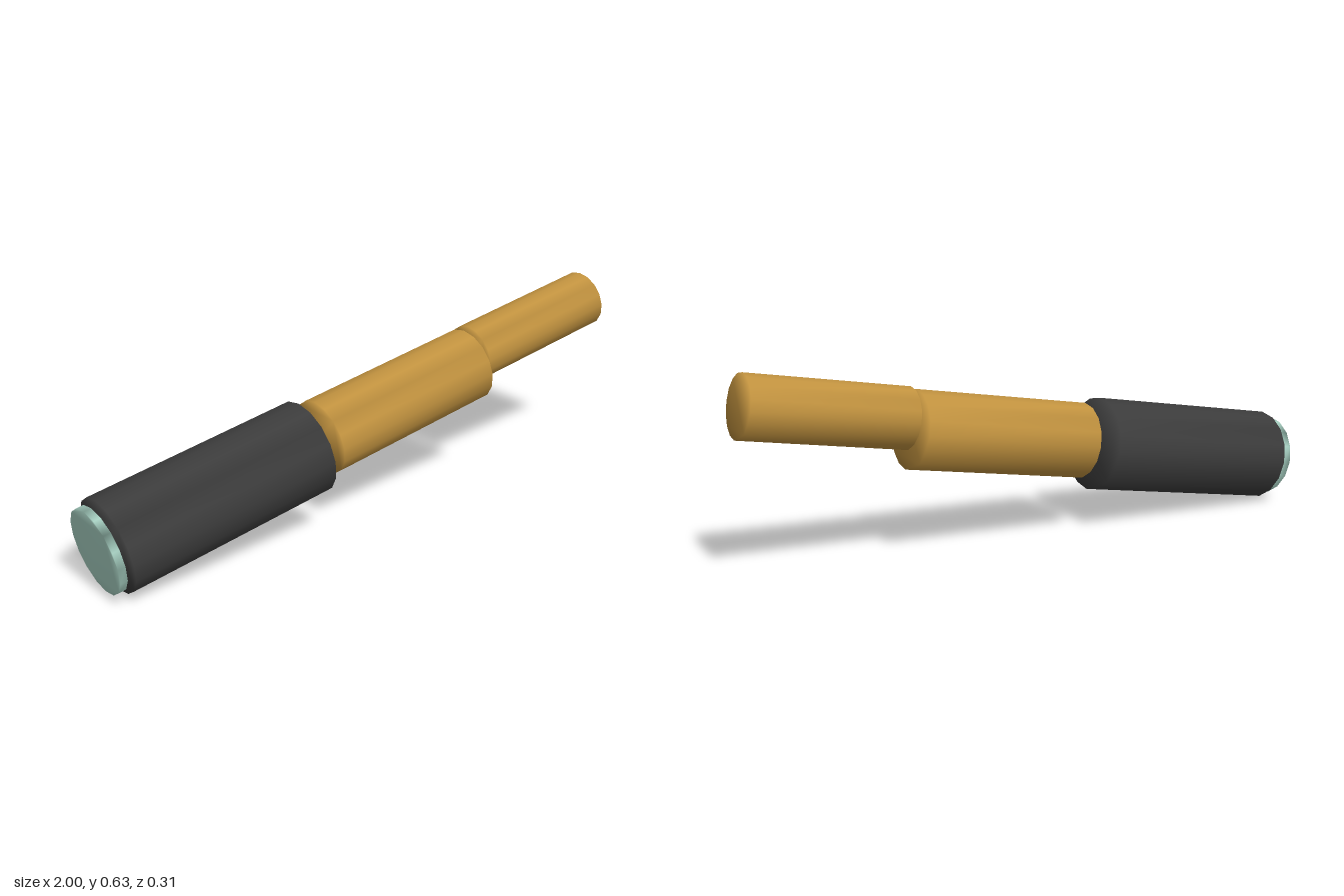
import * as THREE from 'three';
import { mergeVertices } from 'three/addons/utils/BufferGeometryUtils.js';

const SIDES = 16;
const TILT = THREE.MathUtils.degToRad(9.9);

// Closed 16-sided prism along +x with normals shared between sides and caps
function tubeGeometry(radius, length) {
  const points = [];
  for (let i = 0; i < SIDES; i++) {
    const a = (i / SIDES) * Math.PI * 2;
    points.push(new THREE.Vector2(Math.cos(a) * radius, Math.sin(a) * radius));
  }
  const raw = new THREE.ExtrudeGeometry(new THREE.Shape(points), { depth: length, bevelEnabled: false });
  raw.deleteAttribute('normal');
  raw.deleteAttribute('uv');
  const geometry = mergeVertices(raw, 1e-4);
  geometry.rotateY(Math.PI / 2);
  geometry.computeVertexNormals();
  return geometry;
}

export function createModel() {
  const group = new THREE.Group();
  group.name = 'telescope';

  const material = (name, color) => {
    const m = new THREE.MeshStandardMaterial({ color });
    m.name = name;
    return m;
  };
  const brass = material('brass', 0xc1923f);
  const leather = material('dark leather', 0x3c3c3c);
  const glass = material('pale glass', 0xa6cfc1);

  // name, start of the axis (x, y), radius, length, material
  const sections = [
    ['frontLens', -0.976, 0.146, 0.138, 0.024, glass],
    ['mainBarrel', -0.935, 0.153, 0.154, 0.715, leather],
    ['middleTube', -0.175, 0.294, 0.125, 0.625, brass],
    ['eyepieceTube', 0.454, 0.438, 0.098, 0.534, brass],
  ];
  for (const [name, x, y, radius, length, mat] of sections) {
    const mesh = new THREE.Mesh(tubeGeometry(radius, length), mat);
    mesh.name = name;
    mesh.position.set(x, y, 0);
    mesh.rotation.z = TILT;
    group.add(mesh);
  }
  return group;
}
